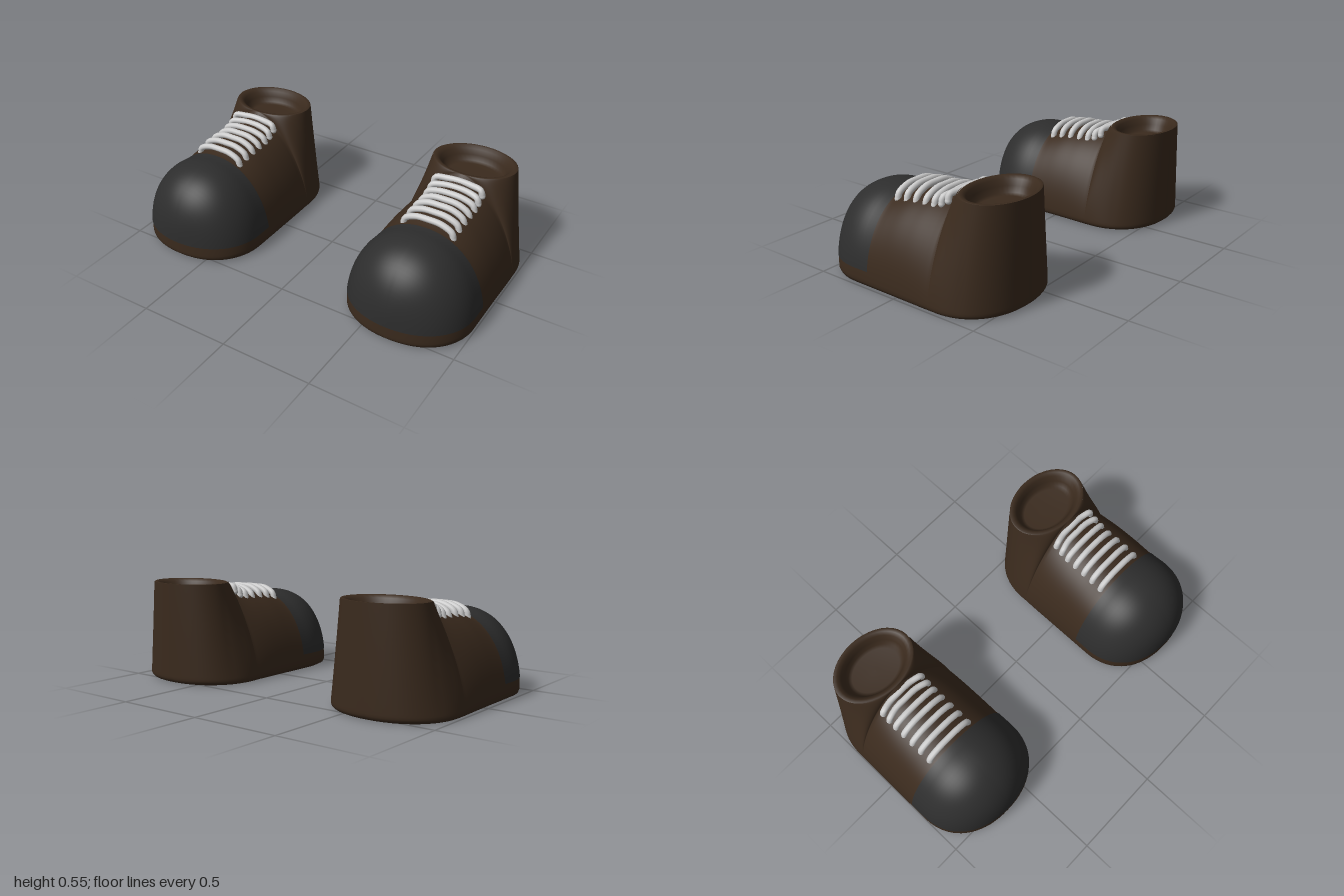
import * as THREE from 'three';
import { mergeVertices } from 'three/addons/utils/BufferGeometryUtils.js';

const leather = new THREE.MeshStandardMaterial({ color: 0x3a2a1d });
const rubber = new THREE.MeshStandardMaterial({ color: 0x2d2d2d });
const cord = new THREE.MeshStandardMaterial({ color: 0xcccccc });

const L = 0.56, W = 0.345, TOP = 0.55;              // half length, half width, collar height
const COLLAR = { z: -0.39, rx: 0.235, rz: 0.17 };
const round = (t, p) => Math.pow(Math.max(0, 1 - Math.pow(Math.min(1, Math.max(0, t)), p)), 1 / p);

// Smooth interpolation through a few [z, value] pairs
function curve(pairs) {
  const f = new THREE.CubicInterpolant(pairs.map(p => p[0]), pairs.map(p => p[1]), 1, [0]);
  return z => f.evaluate(z)[0];
}
const instep = curve([[-0.22, TOP], [-0.19, 0.525], [-0.14, 0.502], [-0.05, 0.485],
  [0.05, 0.474], [0.12, 0.457], [0.18, 0.443], [0.26, 0.45]]);
const fullness = curve([[-0.39, 1], [-0.3, 1.25], [-0.2, 1.7], [-0.1, 1.95], [0.1, 2.1], [0.26, 2.2]]);

// Shape of the upper at each z
const halfWidth = z => W * round((Math.abs(z) - 0.26) / 0.3, 2.2);
const collarWidth = z => COLLAR.rx * round(Math.abs(z - COLLAR.z) / COLLAR.rz, 2);
function height(z) {
  if (z <= -0.22) return TOP;
  return z < 0.26 ? instep(z) : 0.1 + 0.35 * round((z - 0.26) / 0.3, 2.3);
}
const power = z => (z < -0.39 ? 1 : z > 0.26 ? 2.2 : fullness(z));

// Point on the upper: u runs from 0 at the ground to PI/2 at the top
function surface(z, u) {
  const e = 2 / power(z), c = collarWidth(z);
  const x = c + (halfWidth(z) - c) * Math.pow(Math.max(0, Math.cos(u)), e);
  return [x, height(z) * Math.pow(Math.sin(u), e), z];
}

// Loft both mirrored halves through sections at the given z values
function loft(zs, startY, withSole) {
  const pos = [], idx = [], N = 28, r = 0.03;
  for (const side of [1, -1]) {
    const base = pos.length / 3, cols = N + 1 + (withSole ? 1 : 0);
    for (const z of zs) {
      const u0 = Math.asin(Math.pow(Math.min(1, startY / height(z)), power(z) / 2));
      const section = withSole ? [[0, 0, z]] : [];
      for (let j = 0; j <= N; j++) {
        section.push(surface(z, u0 + (Math.PI / 2 - u0) * Math.pow(j / N, 1.3)));
      }
      for (const [x, y, zz] of section) {
        // rounded lower edge
        const d = y < r ? r - Math.sqrt(r * r - (r - y) ** 2) : 0;
        pos.push(side * x * (1 - d / W), y, zz * (1 - d / L));
      }
    }
    for (let i = 0; i < zs.length - 1; i++) {
      for (let j = 0; j < cols - 1; j++) {
        const a = base + i * cols + j, b = a + 1, c = a + cols, d = c + 1;
        if (side > 0) idx.push(a, b, c, b, d, c);
        else idx.push(a, c, b, b, c, d);
      }
    }
  }
  let g = new THREE.BufferGeometry();
  g.setAttribute('position', new THREE.Float32BufferAttribute(pos, 3));
  g.setIndex(idx);
  g = mergeVertices(g, 1e-5);
  g.computeVertexNormals();
  return g;
}

const steps = (n, f) => Array.from({ length: n + 1 }, (_, i) => f(i / n));
const toeSteps = from => steps(22, t => from + (L - from) * Math.sin(t * Math.PI / 2));

function makeShoe() {
  const shoe = new THREE.Group();
  const add = (name, geometry, material) => {
    const m = new THREE.Mesh(geometry, material);
    m.name = name;
    shoe.add(m);
    return m;
  };

  // Upper and sole
  const zs = [
    ...steps(32, t => COLLAR.z - COLLAR.rz * Math.cos(t * Math.PI)),
    ...steps(20, t => -0.22 + 0.395 * t).slice(1),
    ...toeSteps(0.175).slice(1),
  ];
  add('upper', loft(zs, 0, true), leather);

  // Toe cap, lying just above the upper
  const cap = loft(toeSteps(0.175), 0.09, false);
  const p = cap.attributes.position, n = cap.attributes.normal;
  for (let i = 0; i < p.count; i++) {
    p.setXYZ(i, p.getX(i) + n.getX(i) * 0.004, p.getY(i) + n.getY(i) * 0.004, p.getZ(i) + n.getZ(i) * 0.004);
  }
  const capMesh = add('toeCap', cap, rubber);
  capMesh.material.side = THREE.DoubleSide;

  // Collar rim and shallow foot opening
  const rim = [[1, 0.546], [0.97, 0.55], [0.9, 0.549], [0.82, 0.535], [0.75, 0.505],
    [0.69, 0.475], [0.6, 0.465], [0, 0.465]].map(q => new THREE.Vector2(...q));
  const opening = add('footOpening', new THREE.LatheGeometry(rim, 40), leather);
  opening.scale.set(COLLAR.rx, 1, COLLAR.rz);
  opening.position.z = COLLAR.z;

  // Laces: [z, middle height, end height]
  const laces = [[0.145, 0.478, 0.445], [0.083, 0.487, 0.455], [0.022, 0.493, 0.458], [-0.04, 0.493, 0.458],
    [-0.097, 0.498, 0.47], [-0.155, 0.505, 0.487], [-0.197, 0.522, 0.512]];
  laces.forEach(([z, mid, end], i) => {
    const lean = i > 4 ? 0.012 : 0;
    const path = new THREE.CatmullRomCurve3([
      [-0.138, end - 0.03, z + lean], [-0.128, end, z + lean], [-0.07, mid - 0.005, z], [0, mid, z],
      [0.07, mid - 0.005, z], [0.128, end, z + lean], [0.138, end - 0.03, z + lean],
    ].map(q => new THREE.Vector3(...q)));
    add('lace' + (i + 1), new THREE.TubeGeometry(path, 28, 0.017, 10), cord);
    // rounded lace ends
    for (const t of [0, 1]) {
      add('laceEnd', new THREE.SphereGeometry(0.017, 10, 8), cord).position.copy(path.getPoint(t));
    }
  });
  return shoe;
}

export function createModel() {
  const model = new THREE.Group();
  model.name = 'pairOfShoes';
  for (const [name, x] of [['leftShoe', 0.655], ['rightShoe', -0.655]]) {
    const shoe = makeShoe();
    shoe.name = name;
    shoe.position.x = x;
    model.add(shoe);
  }
  return model;
}
